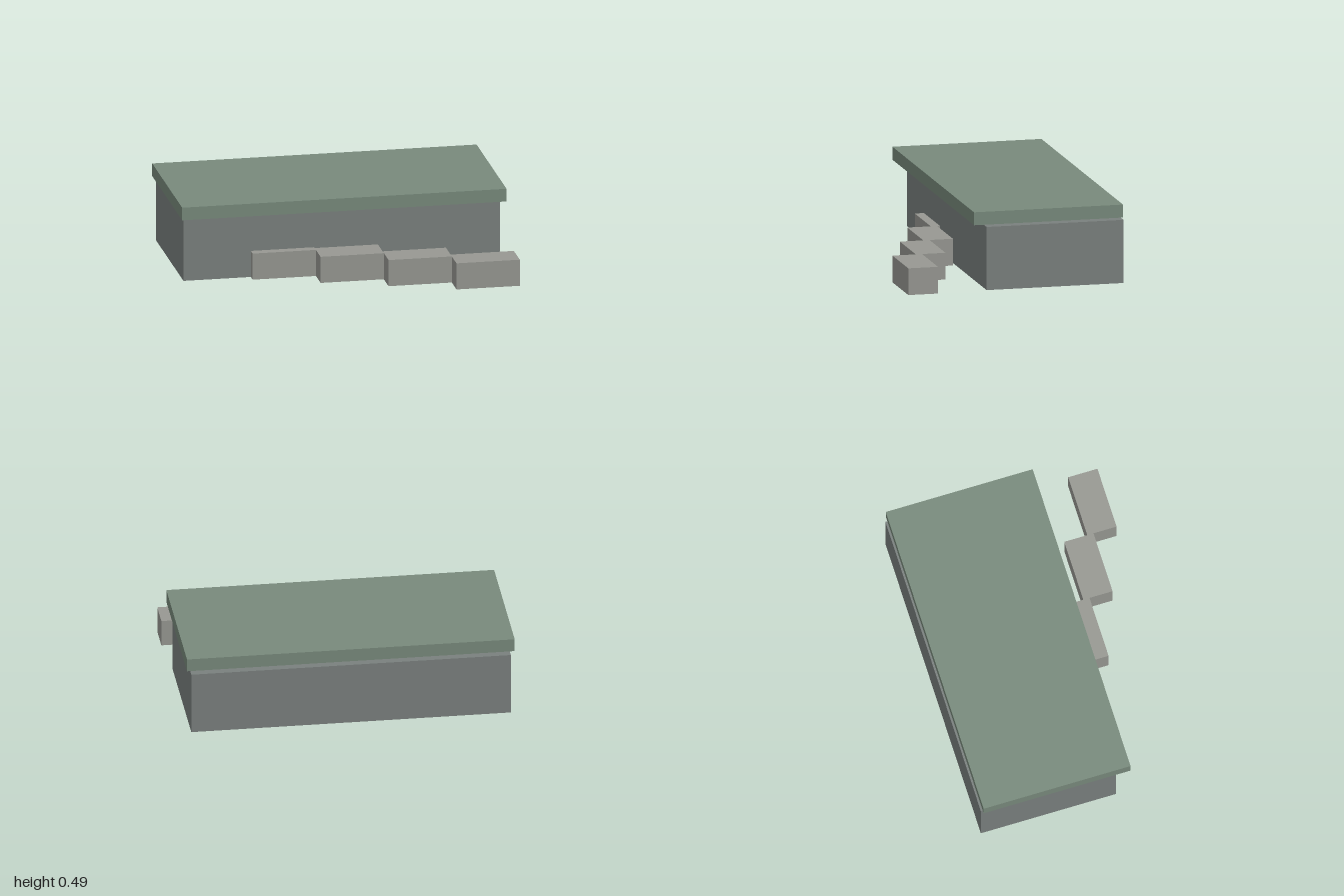
import * as THREE from 'three';

// Box given by its min and max corners
function block(name, color, [x0, y0, z0], [x1, y1, z1]) {
  const mesh = new THREE.Mesh(
    new THREE.BoxGeometry(x1 - x0, y1 - y0, z1 - z0),
    new THREE.MeshStandardMaterial({ color, flatShading: true })
  );
  mesh.name = name;
  mesh.position.set((x0 + x1) / 2, (y0 + y1) / 2, (z0 + z1) / 2);
  return mesh;
}

export function createModel() {
  const model = new THREE.Group();
  model.name = 'building';

  // Main volume and the roof slab floating just above it
  model.add(block('body', 0x7a807e, [-0.975, 0, -0.675], [0.975, 0.39, 0.18]));
  model.add(block('roof', 0x788a7c, [-1, 0.41, -0.665], [1, 0.49, 0.265]));

  // Staggered row of low wall blocks, running out of the body to the front left
  const wall = new THREE.Group();
  wall.name = 'staggeredWall';
  for (let i = 0; i < 5; i++) {
    const x = 1 - 0.39 * i;
    const z = 0.675 - 0.146 * i;
    wall.add(block('wallBlock', 0x979892, [x - 0.39, 0, z - 0.185], [x, 0.165, z]));
  }
  model.add(wall);
  return model;
}
